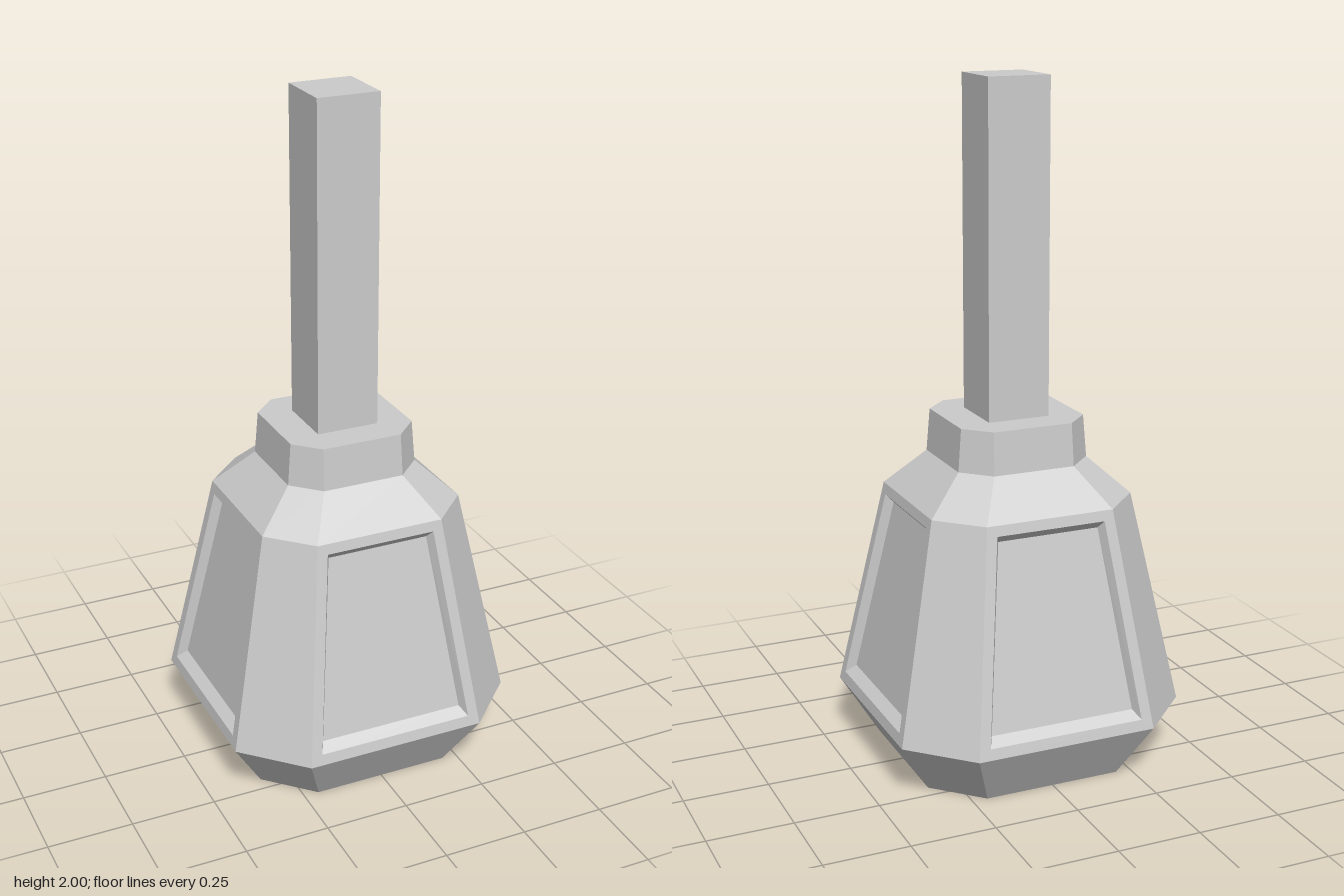
import * as THREE from 'three';

const material = new THREE.MeshStandardMaterial({ color: 0xcccccc, flatShading: true });

// Chamfered-square ring: h = half width, c = half length of each straight side
const ring = (y, h, c) =>
  [[-c, h], [c, h], [h, c], [h, -c], [c, -h], [-c, -h], [-h, -c], [-h, c]].map(([x, z]) => [x, y, z]);

// Mesh from convex polygons with corners listed counter-clockwise from outside
function polygonMesh(name, polygons) {
  const positions = [];
  for (const p of polygons) {
    for (let i = 1; i < p.length - 1; i++) positions.push(...p[0], ...p[i], ...p[i + 1]);
  }
  const geometry = new THREE.BufferGeometry();
  geometry.setAttribute('position', new THREE.Float32BufferAttribute(positions, 3));
  geometry.computeVertexNormals();
  const mesh = new THREE.Mesh(geometry, material);
  mesh.name = name;
  return mesh;
}

// Quads joining two loops; `step` 2 with `start` picks alternate sides
function band(lower, upper, start = 0, step = 1) {
  const quads = [];
  for (let i = start; i < lower.length; i += step) {
    const j = (i + 1) % lower.length;
    quads.push([lower[i], lower[j], upper[j], upper[i]]);
  }
  return quads;
}

export function createModel() {
  const group = new THREE.Group();
  group.name = 'handledHead';

  const foot = ring(0, 0.335, 0.205);
  const belly = ring(0.17, 0.437, 0.271);
  const shoulder = ring(0.805, 0.31, 0.193);
  const neck = ring(0.91, 0.2, 0.123);
  const collarTop = ring(1.035, 0.19, 0.12);

  // Faceted body, leaving the four main sides for the recessed panels
  group.add(polygonMesh('base', [[...foot].reverse(), ...band(foot, belly)]));
  group.add(polygonMesh('chamferedCorners', band(belly, shoulder, 1, 2)));
  group.add(polygonMesh('shoulder', band(shoulder, neck)));
  group.add(polygonMesh('collar', [...band(neck, collarTop), collarTop]));

  // Sloping side with a sunken trapezoid panel
  const slopeZ = (y) => THREE.MathUtils.mapLinear(y, 0.17, 0.805, 0.437, 0.31);
  const trapezoid = (y0, x0, y1, x1, depth) =>
    [[-x0, y0], [x0, y0], [x1, y1], [-x1, y1]].map(([x, y]) => [x, y, slopeZ(y) - depth]);
  const edge = trapezoid(0.17, 0.271, 0.805, 0.193, 0);
  const rim = trapezoid(0.202, 0.235, 0.775, 0.165, 0);
  const floor = trapezoid(0.225, 0.219, 0.752, 0.153, 0.026);
  for (let i = 0; i < 4; i++) {
    const side = polygonMesh('recessedPanel', [...band(edge, rim), ...band(rim, floor), floor]);
    side.rotation.y = (i * Math.PI) / 2;
    group.add(side);
  }

  // Square handle
  const handle = new THREE.Mesh(new THREE.BoxGeometry(0.186, 0.965, 0.186), material);
  handle.name = 'handle';
  handle.position.y = 1.5175;
  group.add(handle);

  return group;
}
